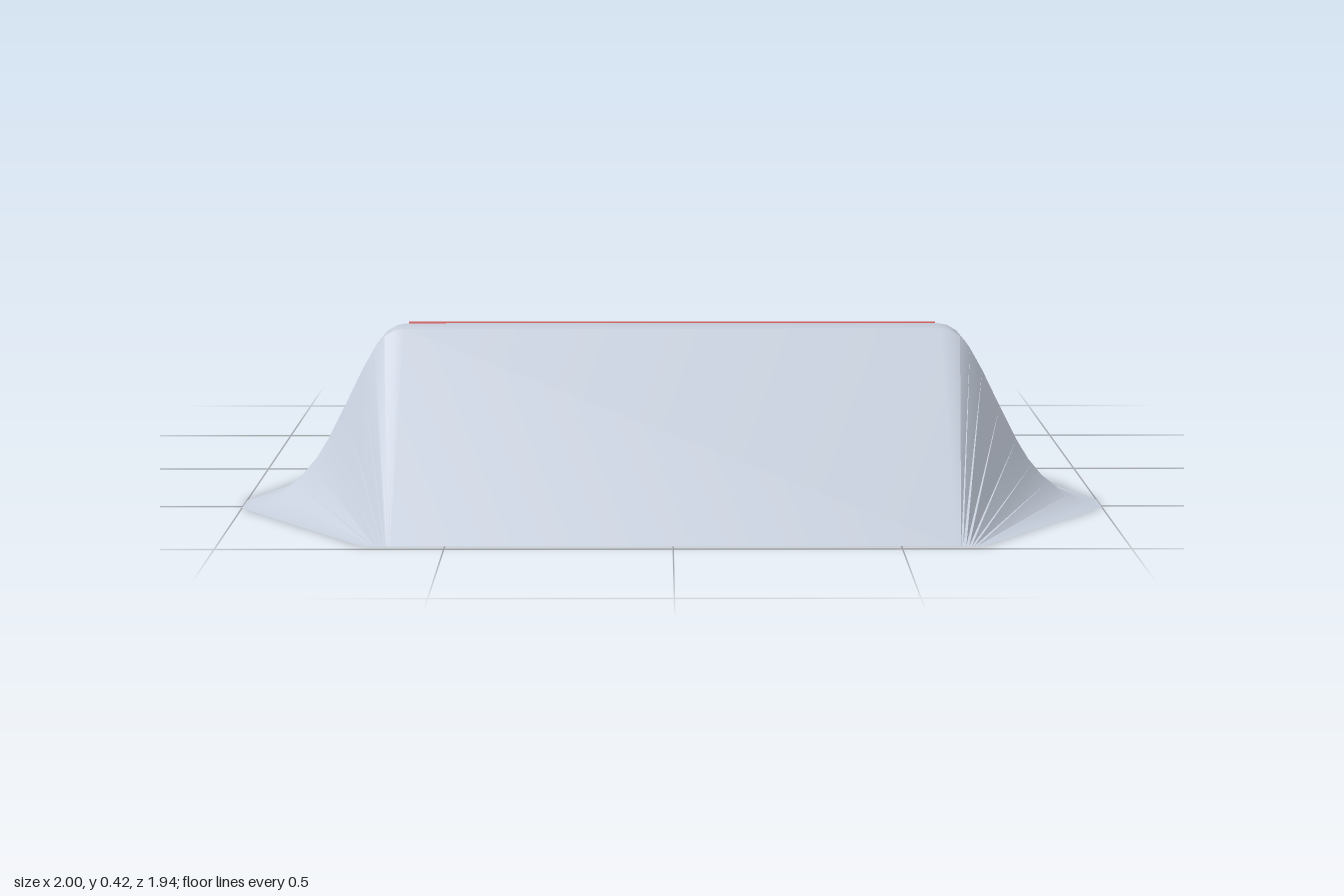
import * as THREE from 'three';
import { toCreasedNormals } from 'three/addons/utils/BufferGeometryUtils.js';

const H = 0.42, BACK = -0.97, CREST = 0.42, LIP = 0.52, FRONT = 0.97;
const INNER = 0.62, BASE = 0.68, FLARE = 0.32;
const STEPS = 28;

// Relative height of the ramp (0 at the ends, 1 at the crest)
function rise(z) {
  if (z <= CREST) return Math.pow(Math.max(0, (z - BACK) / (CREST - BACK)), 1.8);
  if (z <= LIP) return 1;
  return (FRONT - z) / (FRONT - LIP);
}

// Half cross-section of the flared side at the crest, outer foot to top
const sideCurve = new THREE.CatmullRomCurve3([
  [1, 0], [0.94, 0.012], [0.88, 0.05], [0.83, 0.108], [0.78, 0.195],
  [0.72, 0.317], [0.68, 0.385], [0.65, 0.413], [INNER, H],
].map(([x, y]) => new THREE.Vector3(x, y, 0)));

function shellGeometry() {
  const half = sideCurve.getPoints(11);
  const section = [...half, ...half.slice().reverse().map(p => new THREE.Vector3(-p.x, p.y, 0))];

  // Stations from the back edge to the front edge
  const stations = [];
  for (let i = 0; i <= STEPS; i++) stations.push(BACK + (CREST - BACK) * i / STEPS);
  stations.push(LIP, FRONT);

  const positions = [], index = [], n = section.length;
  stations.forEach((z, j) => {
    const f = rise(z);
    const spread = (BASE - INNER + FLARE * f) / (BASE - INNER + FLARE);
    section.forEach((p, i) => {
      const x = INNER + (Math.abs(p.x) - INNER) * spread;
      positions.push(Math.sign(p.x) * x, p.y * f, z);
      if (j < stations.length - 1 && i < n - 1) {
        const a = j * n + i;
        index.push(a, a + 1, a + n, a + 1, a + n + 1, a + n);
      }
    });
  });
  const geometry = new THREE.BufferGeometry();
  geometry.setAttribute('position', new THREE.Float32BufferAttribute(positions, 3));
  geometry.setIndex(index);
  return toCreasedNormals(geometry, 0.6);
}

export function createModel() {
  const group = new THREE.Group();
  group.name = 'ramp';

  const shellPaint = new THREE.MeshStandardMaterial({ color: 0xc8d0de, side: THREE.DoubleSide });
  shellPaint.name = 'paleBlueGrey';
  const stripePaint = new THREE.MeshStandardMaterial({ color: 0xcc4040 });
  stripePaint.name = 'red';

  // Open-bottomed ramp with flared sides
  const shell = new THREE.Mesh(shellGeometry(), shellPaint);
  shell.name = 'rampShell';
  group.add(shell);

  // Marker stripe lying on the slope just behind the crest
  const z = 0.401;
  const slope = Math.atan((rise(z + 0.01) - rise(z - 0.01)) * H / 0.02);
  const stripe = new THREE.Mesh(new THREE.BoxGeometry(1.23, 0.006, 0.038), stripePaint);
  stripe.name = 'crestStripe';
  stripe.position.set(0, rise(z) * H + 0.002, z);
  stripe.rotation.x = -slope;
  group.add(stripe);

  return group;
}
